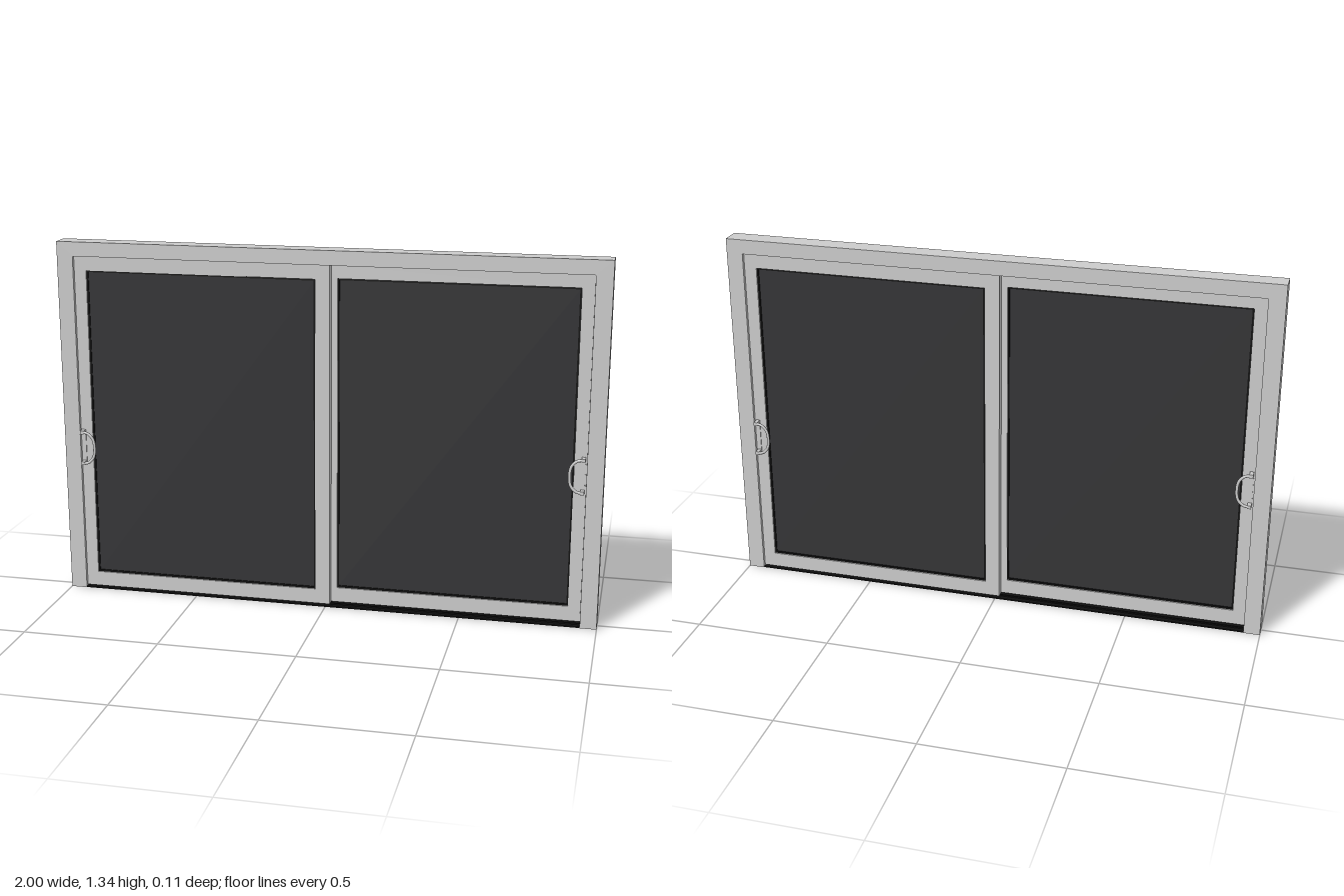
import * as THREE from 'three';

const grey = new THREE.MeshStandardMaterial({ color: 0xcccccc });
const glassMat = new THREE.MeshStandardMaterial({ color: 0x343436 });
const blackMat = new THREE.MeshStandardMaterial({ color: 0x101010 });

function add(parent, name, geometry, material, x = 0, y = 0, z = 0) {
  const mesh = new THREE.Mesh(geometry, material);
  mesh.name = name;
  mesh.position.set(x, y, z);
  parent.add(mesh);
  return mesh;
}
const box = (w, h, d) => new THREE.BoxGeometry(w, h, d);

// Rectangular ring between two rectangles [x0, y0, x1, y1], extruded along z
function ring(outer, inner, depth) {
  const corners = ([a, b, c, d]) => [[a, b], [c, b], [c, d], [a, d]].map(p => new THREE.Vector2(...p));
  const shape = new THREE.Shape(corners(outer));
  shape.holes.push(new THREE.Path(corners(inner)));
  return new THREE.ExtrudeGeometry(shape, { depth, bevelEnabled: false });
}

// D-shaped pull: base plate, two posts and a bowed grip, standing out along +z
function makeHandle() {
  const handle = new THREE.Group();
  handle.name = 'handle';
  add(handle, 'basePlate', box(0.014, 0.134, 0.003), grey, 0, 0, 0.0015);
  for (const s of [-1, 1]) add(handle, 'post', box(0.014, 0.013, 0.028), grey, 0, s * 0.06, 0.014);
  const path = new THREE.CatmullRomCurve3([
    [0, -0.061], [0.022, -0.056], [0.041, -0.036], [0.047, 0], [0.041, 0.036], [0.022, 0.056], [0, 0.061],
  ].map(([x, y]) => new THREE.Vector3(x, y, 0)));
  const grip = add(handle, 'grip', new THREE.TubeGeometry(path, 32, 0.0055, 10), grey, 0, 0, 0.024);
  grip.scale.z = 0.8;
  return handle;
}

// One sliding door: sash, gasket, pane and a pull on each face
function makeDoor() {
  const door = new THREE.Group();
  const z0 = 0.001, z1 = 0.029, mid = (z0 + z1) / 2;
  add(door, 'sash', ring([-0.938, 0.01, 0.016, 1.284], [-0.893, 0.066, -0.038, 1.232], z1 - z0), grey, 0, 0, z0);
  add(door, 'gasket', ring([-0.894, 0.065, -0.037, 1.233], [-0.887, 0.073, -0.044, 1.226], 0.018), blackMat, 0, 0, mid - 0.009);
  add(door, 'glass', box(0.853, 1.164, 0.01), glassMat, -0.4655, 0.649, mid);
  const outer = makeHandle();
  outer.position.set(-0.926, 0.565, z1);
  const inner = makeHandle();
  inner.position.set(-0.926, 0.565, z0);
  // the half turn about x keeps the bow pointing towards the pane
  inner.rotation.x = Math.PI;
  door.add(outer, inner);
  return door;
}

export function createModel() {
  const model = new THREE.Group();
  model.name = 'slidingDoor';

  // Outer frame: two jambs and a head in one piece
  const outline = [[-1, 0], [-0.94, 0], [-0.94, 1.284], [0.94, 1.284], [0.94, 0], [1, 0], [1, 1.337], [-1, 1.337]];
  const shape = new THREE.Shape(outline.map(p => new THREE.Vector2(...p)));
  add(model, 'frame', new THREE.ExtrudeGeometry(shape, { depth: 0.074, bevelEnabled: false }), grey, 0, 0, -0.037);

  // Sill with a rail under each door
  add(model, 'sill', box(1.88, 0.005, 0.07), blackMat, 0, 0.0025, 0);
  for (const s of [-1, 1]) add(model, 'rail', box(1.88, 0.006, 0.006), blackMat, 0, 0.007, s * 0.015);

  // The rear door is the front one turned half round
  const front = makeDoor();
  front.name = 'frontDoor';
  const rear = makeDoor();
  rear.name = 'rearDoor';
  rear.rotation.y = Math.PI;
  model.add(front, rear);
  return model;
}
